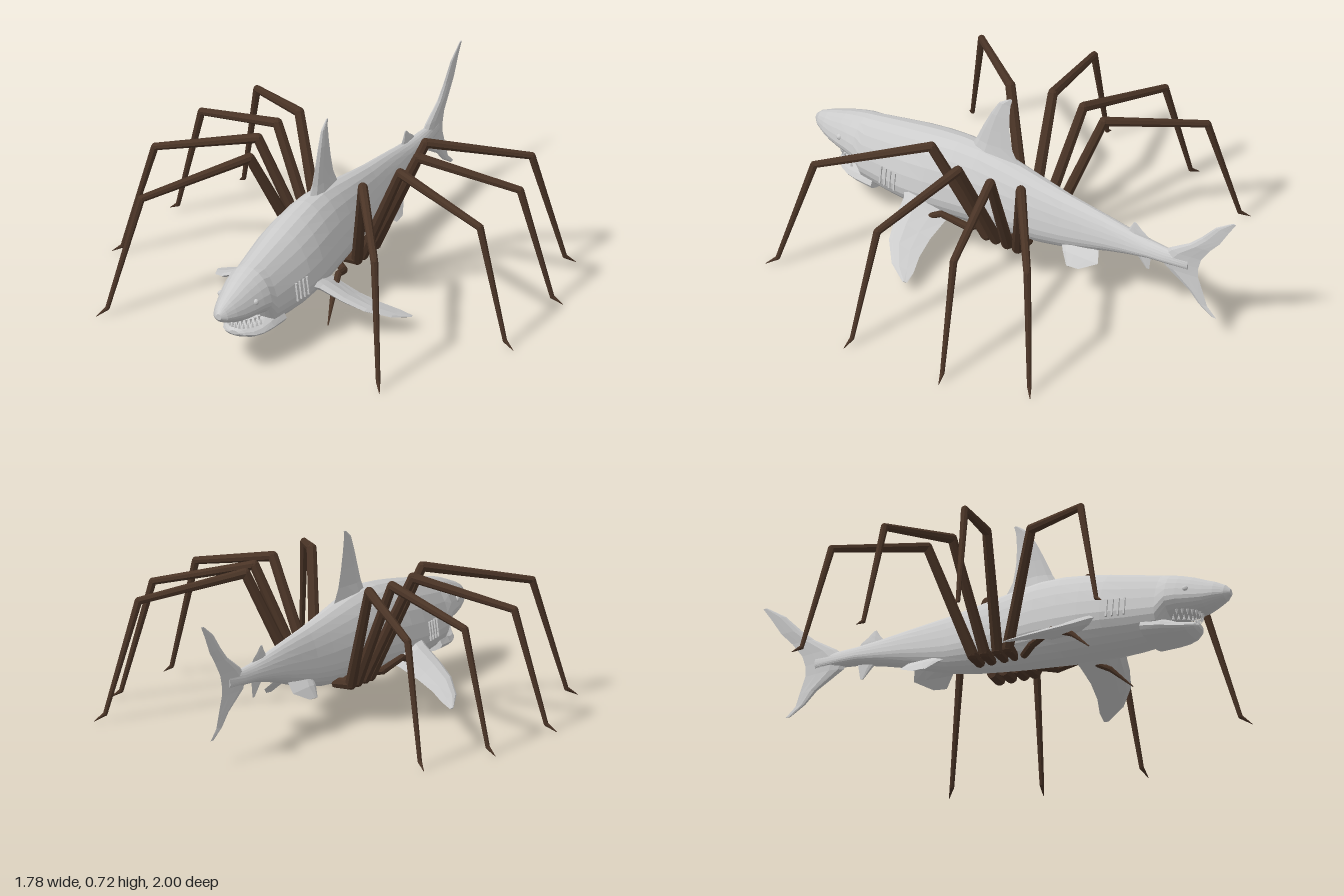
import * as THREE from 'three';

const V = (x, y, z) => new THREE.Vector3(x, y, z);
const grey = new THREE.MeshStandardMaterial({ color: 0xcccccc, flatShading: true });
const brown = new THREE.MeshStandardMaterial({ color: 0x4a3426, flatShading: true });

function add(parent, name, geometry, material) {
  const mesh = new THREE.Mesh(geometry, material);
  mesh.name = name;
  parent.add(mesh);
  return mesh;
}

// Closed skin over rings of equal point count, turned to face outward
function loft(rings) {
  const n = rings[0].length, pts = rings.flat(), idx = [];
  const centre = r => r.reduce((s, p) => s.add(p), V(0, 0, 0)).divideScalar(n);
  for (let i = 0; i < rings.length - 1; i++) {
    for (let j = 0; j < n; j++) {
      const a = i * n + j, b = i * n + (j + 1) % n;
      idx.push(a, b, a + n, b, b + n, a + n);
    }
  }
  const last = (rings.length - 1) * n, c0 = pts.length, c1 = c0 + 1;
  pts.push(centre(rings[0]), centre(rings[rings.length - 1]));
  for (let j = 0; j < n; j++) {
    const k = (j + 1) % n;
    idx.push(c0, k, j, c1, last + j, last + k);
  }
  let volume = 0;
  for (let i = 0; i < idx.length; i += 3) {
    volume += pts[idx[i]].dot(pts[idx[i + 1]].clone().cross(pts[idx[i + 2]]));
  }
  if (volume < 0) idx.reverse();
  const g = new THREE.BufferGeometry().setFromPoints(pts);
  g.setIndex(idx);
  g.computeVertexNormals();
  return g;
}

// Body ring, widest below its middle: [z, top, bottom, half width]
function bodyRing([z, top, bottom, w], n = 24) {
  const mid = bottom + (top - bottom) * 0.36;
  return Array.from({ length: n }, (_, i) => {
    const a = (i / n) * Math.PI * 2, s = Math.sin(a), c = Math.cos(a);
    return V(w * c * (1 - 0.12 * Math.max(s, 0)), mid + s * (s > 0 ? top - mid : mid - bottom), z);
  });
}

// Fin from sections [leading point, trailing point, thickness], lens-shaped across
function fin(sections, across) {
  const profile = [[0, 0], [0.12, 0.7], [0.35, 1], [0.7, 0.5], [1, 0], [0.7, -0.5], [0.35, -1], [0.12, -0.7]];
  return loft(sections.map(([lead, trail, t]) => profile.map(([u, v]) =>
    lead.clone().lerp(trail, u).addScaledVector(across, v * t / 2))));
}

// Upright fin from rows [y, leading z, trailing z, thickness, sideways shift]
const uprightFin = rows => fin(rows.map(([y, a, b, t, x = 0]) => [V(x, y, a), V(x, y, b), t]), V(1, 0, 0));

function rod(parent, name, a, b, ra, rb) {
  const d = b.clone().sub(a);
  const mesh = add(parent, name, new THREE.CylinderGeometry(rb, ra, d.length(), 8), brown);
  mesh.position.copy(a).lerp(b, 0.5);
  mesh.quaternion.setFromUnitVectors(V(0, 1, 0), d.normalize());
}

// Jointed limb from a list of joints and radii
function limb(parent, name, joints, radii) {
  const g = new THREE.Group();
  g.name = name;
  joints.slice(1).forEach((p, i) => {
    rod(g, 'segment', joints[i], p, radii[i], radii[i + 1]);
    if (i < joints.length - 2) {
      add(g, 'joint', new THREE.SphereGeometry(radii[i + 1], 8, 6), brown).position.copy(p);
    }
  });
  parent.add(g);
}

export function createModel() {
  const model = new THREE.Group();
  model.name = 'sharkSpider';

  // Body and upper head
  add(model, 'body', loft([
    [1.0, 0.29, 0.265, 0.012], [0.98, 0.31, 0.247, 0.032], [0.94, 0.33, 0.23, 0.053],
    [0.9, 0.345, 0.215, 0.068], [0.85, 0.365, 0.205, 0.084], [0.8, 0.38, 0.2, 0.098],
    [0.76, 0.39, 0.19, 0.107], [0.72, 0.398, 0.12, 0.115], [0.6, 0.423, 0.11, 0.132],
    [0.5, 0.443, 0.108, 0.145], [0.4, 0.46, 0.11, 0.146], [0.3, 0.472, 0.113, 0.138],
    [0.2, 0.472, 0.12, 0.128], [0.1, 0.458, 0.126, 0.115], [0, 0.44, 0.135, 0.1],
    [-0.1, 0.422, 0.146, 0.085], [-0.2, 0.405, 0.165, 0.07], [-0.3, 0.392, 0.195, 0.059],
    [-0.4, 0.378, 0.228, 0.05], [-0.5, 0.363, 0.255, 0.042], [-0.6, 0.352, 0.277, 0.035],
    [-0.68, 0.348, 0.283, 0.027], [-0.78, 0.345, 0.29, 0.012],
  ].map(r => bodyRing(r))), grey);

  // Lower jaw
  add(model, 'lowerJaw', loft([
    [0.66, 0.22, 0.112, 0.118], [0.74, 0.2, 0.113, 0.106], [0.79, 0.178, 0.116, 0.09],
    [0.83, 0.172, 0.122, 0.072], [0.86, 0.17, 0.134, 0.046], [0.872, 0.162, 0.145, 0.022],
  ].map(r => bodyRing(r, 16))), grey);

  // Two rows of teeth along the jaw arc
  const tooth = new THREE.ConeGeometry(0.007, 0.026, 4);
  for (const [y, reach, turn] of [[0.2, 0.875, Math.PI], [0.182, 0.86, 0]]) {
    for (let i = 0; i < 13; i++) {
      const a = -1.25 + i * 2.5 / 12;
      const t = add(model, 'tooth', tooth, grey);
      t.position.set(0.075 * Math.sin(a), y, reach - 0.11 * (1 - Math.cos(a)));
      t.rotation.x = turn;
    }
  }

  // Fins on the centre line
  add(model, 'dorsalFin', uprightFin([
    [0.44, 0.27, 0.03, 0.06], [0.5, 0.235, 0.065, 0.035], [0.57, 0.205, 0.08, 0.025, -0.003],
    [0.64, 0.172, 0.086, 0.02, -0.008], [0.7, 0.137, 0.085, 0.013, -0.014], [0.73, 0.092, 0.078, 0.005, -0.017],
  ]), grey);
  add(model, 'secondDorsalFin', uprightFin([
    [0.34, -0.47, -0.6, 0.02], [0.365, -0.49, -0.585, 0.014], [0.385, -0.505, -0.555, 0.01], [0.408, -0.518, -0.53, 0.004],
  ]), grey);
  add(model, 'analFin', uprightFin([
    [0.285, -0.5, -0.6, 0.02], [0.25, -0.54, -0.595, 0.012], [0.212, -0.575, -0.59, 0.004],
  ]), grey);
  add(model, 'tailFin', uprightFin([
    [0.59, -0.982, -1.0, 0.004, -0.01], [0.54, -0.905, -0.967, 0.01, -0.008], [0.47, -0.84, -0.925, 0.015, -0.004],
    [0.42, -0.785, -0.88, 0.02], [0.36, -0.69, -0.838, 0.03], [0.315, -0.64, -0.825, 0.036],
    [0.27, -0.66, -0.825, 0.03], [0.2, -0.775, -0.85, 0.018], [0.15, -0.825, -0.867, 0.012], [0.11, -0.888, -0.91, 0.004],
  ]), grey);

  for (const s of [1, -1]) {
    const side = s > 0 ? 'left' : 'right';

    // Pectoral fins, the right one swept slightly further back and down
    const k = s > 0 ? 0 : 1;
    const p = (x, y, z) => {
      const t = Math.max(0, (x - 0.12) / 0.33);
      return V(s * x * (1 - 0.07 * k * t), y - 0.02 * k * t, z - 0.035 * k * t);
    };
    add(model, side + 'PectoralFin', fin([
      [p(0.1, 0.23, 0.51), p(0.1, 0.17, 0.28), 0.06], [p(0.16, 0.205, 0.47), p(0.15, 0.155, 0.285), 0.045],
      [p(0.25, 0.16, 0.45), p(0.24, 0.125, 0.288), 0.032], [p(0.33, 0.123, 0.42), p(0.33, 0.097, 0.275), 0.024],
      [p(0.41, 0.085, 0.35), p(0.4, 0.073, 0.252), 0.015], [p(0.457, 0.06, 0.265), p(0.45, 0.058, 0.247), 0.005],
    ], V(s * 0.4, 0.92, 0)), grey);

    // Pelvic fins
    add(model, side + 'PelvicFin', fin([
      [V(s * 0.03, 0.215, -0.19), V(s * 0.03, 0.225, -0.37), 0.03],
      [V(s * 0.07, 0.19, -0.225), V(s * 0.065, 0.19, -0.39), 0.018],
      [V(s * 0.102, 0.152, -0.265), V(s * 0.098, 0.155, -0.32), 0.005],
    ], V(s * 0.75, 0.66, 0)), grey);

    // Eyes
    add(model, side + 'Eye', new THREE.SphereGeometry(0.013, 12, 8), grey).position.set(s * 0.077, 0.29, 0.838);

    // Gill slits
    for (let i = 0; i < 4; i++) {
      const gill = add(model, side + 'Gill', new THREE.BoxGeometry(0.008, 0.075, 0.007), grey);
      gill.position.set(s * (0.141 - i * 0.003), 0.24, 0.53 + i * 0.024);
      gill.rotation.z = s * 0.12;
    }

    // Walking legs: base z, tip x, tip z
    const legs = s > 0
      ? [[0.1, 0.61, 0.81], [0.055, 0.89, 0.235], [0, 0.87, -0.205], [-0.05, 0.74, -0.55]]
      : [[0.1, 0.675, 0.755], [0.055, 0.89, 0.23], [0, 0.87, -0.205], [-0.05, 0.745, -0.54]];
    legs.forEach(([z0, x1, z1], i) => {
      const at = (f, y) => V(s * (0.125 + (x1 - 0.125) * f), y, z0 + (z1 - z0) * f);
      limb(model, side + 'Leg' + (i + 1),
        [V(s * 0.05, 0.155, z0), at(0, 0.16), at(0.25, 0.58), at(0.78, 0.485), at(0.945, 0.035), at(1, 0.006)],
        [0.02, 0.024, 0.02, 0.015, 0.009, 0.001]);
    });

    // Short feelers ahead of the legs
    limb(model, side + 'Feeler',
      [V(s * 0.06, 0.15, 0.14), V(s * 0.12, 0.155, 0.2), V(s * 0.15, 0.19, 0.3), V(s * 0.18, 0.14, 0.4), V(s * 0.205, 0.06, 0.485)],
      [0.016, 0.016, 0.013, 0.011, 0.002]);
  }
  return model;
}
